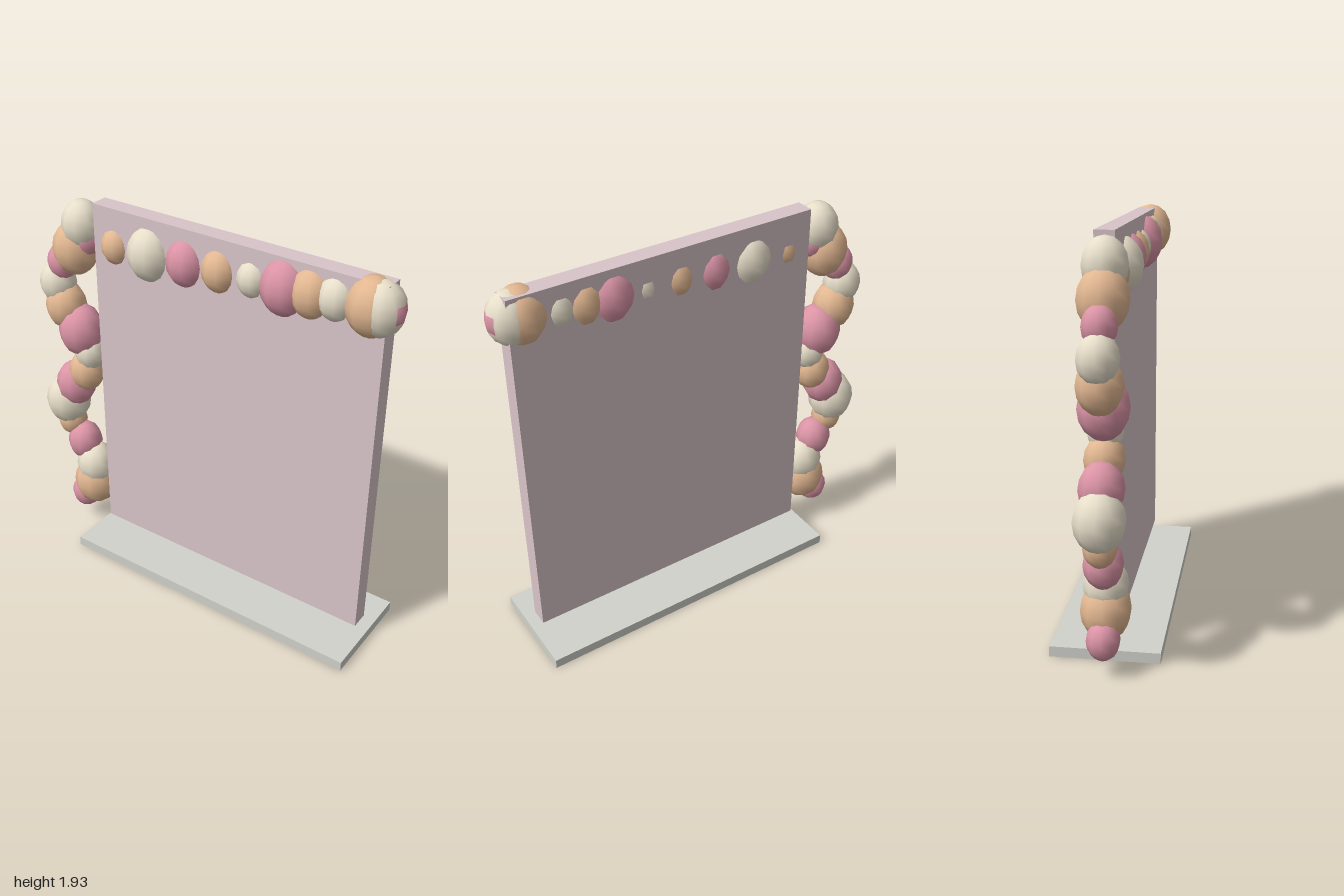
import * as THREE from 'three';

const material = (color) => new THREE.MeshStandardMaterial({ color });

export function createModel() {
  const model = new THREE.Group();
  const panelPink = material(0xd9c4c9);
  const baseGrey = material(0xd0d2cb);
  const colors = {
    ivory: material(0xe8dfca),
    pink: material(0xdb94a6),
    peach: material(0xe3b892),
  };

  const box = (name, w, h, d, x, y, mat) => {
    const mesh = new THREE.Mesh(new THREE.BoxGeometry(w, h, d), mat);
    mesh.name = name;
    mesh.position.set(x, y, 0);
    model.add(mesh);
  };

  // Floor plate and upright backdrop board
  box('basePlate', 1.62, 0.05, 0.51, 0.158, 0.025, baseGrey);
  box('backdropPanel', 1.53, 1.815, 0.09, 0.16, 1.0075, panelPink);

  // Balloons share one low-sided smooth sphere, stretched upward
  const sphere = new THREE.SphereGeometry(1, 10, 8);
  const garland = (name, balloons) => {
    const group = new THREE.Group();
    group.name = name;
    for (const [color, x, y, r] of balloons) {
      const balloon = new THREE.Mesh(sphere, colors[color]);
      balloon.name = color + 'Balloon';
      balloon.position.set(x, y, 0.018);
      balloon.scale.set(r, r * 1.17, r * 0.96);
      group.add(balloon);
    }
    model.add(group);
  };

  // Winding column of balloons beside the panel: colour, x, y, radius
  garland('sideGarland', [
    ['pink', -0.794, 0.171, 0.08],
    ['peach', -0.716, 0.281, 0.12],
    ['ivory', -0.708, 0.393, 0.107],
    ['pink', -0.778, 0.516, 0.094],
    ['peach', -0.858, 0.628, 0.08],
    ['ivory', -0.877, 0.746, 0.12],
    ['pink', -0.813, 0.866, 0.106],
    ['peach', -0.73, 0.97, 0.095],
    ['ivory', -0.7, 1.088, 0.083],
    ['pink', -0.75, 1.198, 0.119],
    ['peach', -0.842, 1.313, 0.107],
    ['ivory', -0.885, 1.43, 0.095],
    ['pink', -0.842, 1.555, 0.08],
    ['peach', -0.75, 1.65, 0.118],
    ['pink', -0.678, 1.715, 0.075],
    ['ivory', -0.7, 1.783, 0.104],
  ]);

  // Row of balloons along the top edge
  garland('topGarland', [
    ['peach', -0.49, 1.722, 0.078],
    ['ivory', -0.29, 1.735, 0.115],
    ['pink', -0.085, 1.745, 0.1],
    ['peach', 0.098, 1.755, 0.09],
    ['ivory', 0.27, 1.762, 0.076],
    ['pink', 0.433, 1.77, 0.115],
    ['peach', 0.565, 1.778, 0.1],
    ['ivory', 0.682, 1.787, 0.088],
    ['peach', 0.845, 1.797, 0.116],
    ['ivory', 0.885, 1.8, 0.108],
    ['pink', 0.918, 1.8, 0.077],
  ]);

  return model;
}
